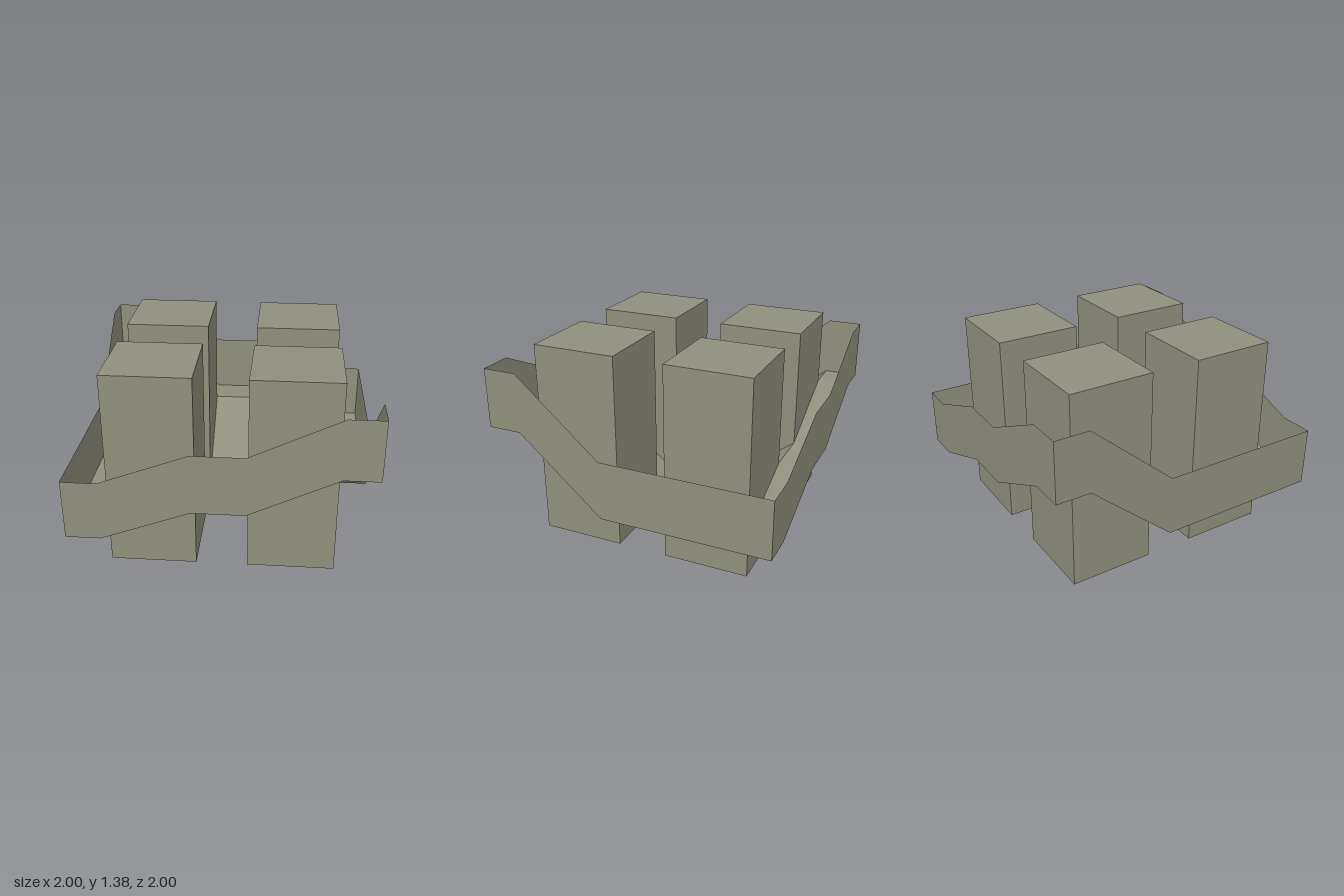
import * as THREE from 'three';
import { toCreasedNormals } from 'three/addons/utils/BufferGeometryUtils.js';

// Grid lines shared by x and z; each pair of lines bounds one beam
const LINES = [-1, -0.765, -0.175, 0.175, 0.765, 1];
// Underside height at each crossing: rows run back to front, columns -x to +x
const HEIGHTS = [
  [0.84, 0.555, 0.33],
  [0.33, 0.11, 0.33],
  [0.33, 0.555, 0.84],
];
const WALL = 0.415;
const POST_HEIGHT = 1.38;

const height = (i, k) => HEIGHTS[k >> 1][i >> 1];
const point = (i, k, lift = 0) => [LINES[i], height(i, k) + lift, LINES[k]];

function quadGeometry(quads) {
  const pos = [];
  for (const [a, b, c, d] of quads) pos.push(...a, ...b, ...c, ...a, ...c, ...d);
  const g = new THREE.BufferGeometry();
  g.setAttribute('position', new THREE.Float32BufferAttribute(pos, 3));
  return toCreasedNormals(g, 0.52);
}

export function createModel() {
  const model = new THREE.Group();
  model.name = 'postLattice';
  const stone = new THREE.MeshStandardMaterial({ color: 0x8f907c, side: THREE.DoubleSide });
  stone.name = 'olive grey';

  const add = (name, geometry) => {
    const mesh = new THREE.Mesh(geometry, stone);
    mesh.name = name;
    model.add(mesh);
    return mesh;
  };

  // Sloping floor of the beams, left open where the posts pass through
  const floor = [];
  for (let k = 0; k < 5; k++) {
    for (let i = 0; i < 5; i++) {
      if (i % 2 && k % 2) continue;
      floor.push([point(i, k), point(i + 1, k), point(i + 1, k + 1), point(i, k + 1)]);
    }
  }
  add('latticeFloor', quadGeometry(floor));

  // Outer walls following the floor, open at the top
  const wall = (name, at) => {
    const quads = [];
    for (let n = 0; n < 5; n++) {
      const p = at(n), q = at(n + 1);
      quads.push([point(...p), point(...q), point(...q, WALL), point(...p, WALL)]);
    }
    add(name, quadGeometry(quads));
  };
  wall('frontWall', (n) => [n, 5]);
  wall('backWall', (n) => [5 - n, 0]);
  wall('leftWall', (n) => [5, 5 - n]);
  wall('rightWall', (n) => [0, n]);

  // Four square posts
  const width = LINES[4] - LINES[3];
  const centre = (LINES[4] + LINES[3]) / 2;
  const postGeometry = new THREE.BoxGeometry(width, POST_HEIGHT, width);
  for (const [sx, side] of [[1, 'Left'], [-1, 'Right']]) {
    for (const [sz, end] of [[1, 'front'], [-1, 'back']]) {
      add(`${end}${side}Post`, postGeometry).position.set(sx * centre, POST_HEIGHT / 2, sz * centre);
    }
  }

  return model;
}
